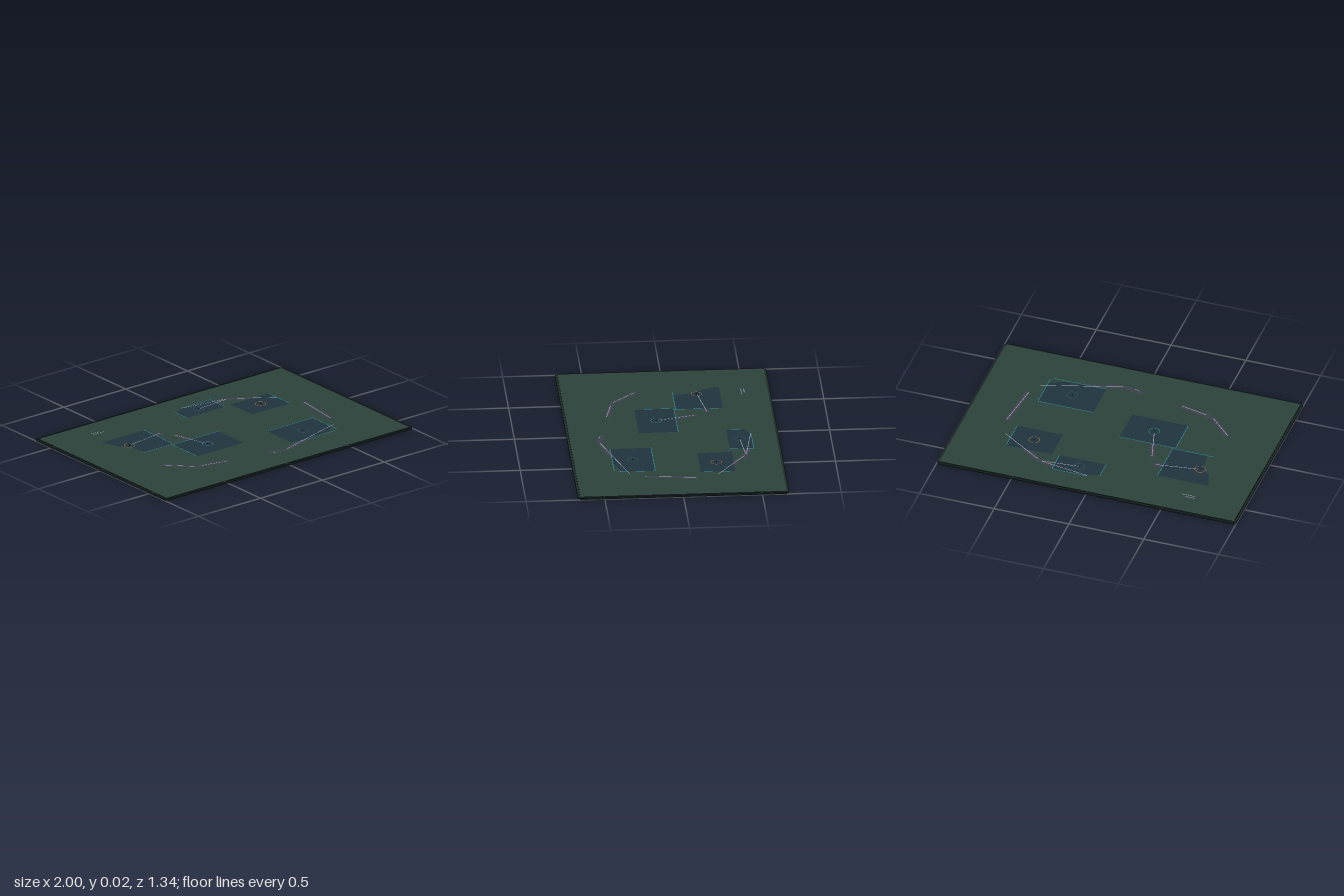
import * as THREE from 'three';

const GROUND = 0.0115;

function mat(color) {
  return new THREE.MeshStandardMaterial({ color, side: THREE.DoubleSide });
}
const M = {
  ground: mat(0x2b4239), rim: mat(0x1c2b26), pad: mat(0x20343e), road: mat(0x3a404b),
  line: mat(0xa8a4bc), cyan: mat(0x2a8a9a), orange: mat(0xb8722a), ring: mat(0x2c5560),
};

export function createModel() {
  const model = new THREE.Group();

  function add(name, geometry, material, x = 0, y = 0, z = 0) {
    const mesh = new THREE.Mesh(geometry, material);
    mesh.name = name;
    mesh.position.set(x, y, z);
    model.add(mesh);
    return mesh;
  }

  // Flat polygon from [x, z] points, facing up at height y
  function flat(name, points, y, material) {
    const shape = new THREE.Shape(points.map(([x, z]) => new THREE.Vector2(x, -z)));
    add(name, new THREE.ShapeGeometry(shape).rotateX(-Math.PI / 2), material, 0, y, 0);
  }

  // Flat strip of even width with mitred bends along [x, z] points
  function ribbon(name, points, width, y, material) {
    const p = points.map(([x, z]) => new THREE.Vector2(x, z));
    const left = [], right = [];
    p.forEach((c, i) => {
      const before = c.clone().sub(p[Math.max(i - 1, 0)]).normalize();
      const after = p[Math.min(i + 1, p.length - 1)].clone().sub(c).normalize();
      const d = before.add(after).normalize();
      const n = new THREE.Vector2(-d.y, d.x).multiplyScalar(width / 2);
      left.push([c.x + n.x, c.y + n.y]);
      right.unshift([c.x - n.x, c.y - n.y]);
    });
    flat(name, [...left, ...right], y, material);
  }

  const rect = (x0, x1, z0, z1) => [[x0, z0], [x1, z0], [x1, z1], [x0, z1]];

  // Ground sheet and the low rim strips around it
  add('ground', new THREE.PlaneGeometry(1.97, 1.31).rotateX(-Math.PI / 2), M.ground, 0, GROUND, 0);
  for (const s of [-1, 1]) {
    add('rimLong', new THREE.BoxGeometry(1.97, 0.008, 0.015), M.rim, 0, 0.004, s * 0.6625);
    add('rimShort', new THREE.BoxGeometry(0.015, 0.008, 1.31), M.rim, s * 0.9925, 0.004, 0);
  }

  // Pads: visible outline, full rectangle, edge lines and marker position
  const pads = [
    { shape: [[-0.71, -0.35], [-0.37, -0.35], [-0.37, -0.05], [-0.60, -0.05], [-0.62, -0.17], [-0.68, -0.25]],
      full: [-0.83, -0.37, -0.35, -0.05], marker: [-0.605, -0.2], ring: M.orange,
      edges: [[[-0.37, -0.35], [-0.37, -0.05]], [[-0.64, -0.05], [-0.37, -0.05]]] },
    { shape: rect(-0.385, -0.01, -0.04, 0.21), marker: [-0.2, 0.085], ring: M.cyan,
      edges: [[[-0.385, -0.04], [-0.385, 0.21]], [[-0.385, -0.04], [-0.01, -0.04]]] },
    { shape: [[-0.025, -0.46], [0.06, -0.495], [0.285, -0.495], [0.285, -0.345], [-0.025, -0.345]],
      full: [-0.025, 0.285, -0.5, -0.345], marker: [0.13, -0.42], ring: M.ring,
      edges: [[[0.05, -0.498], [0.285, -0.498]], [[0.285, -0.498], [0.285, -0.345]], [[-0.025, -0.47], [-0.025, -0.345]]] },
    { shape: rect(0.335, 0.64, -0.355, -0.135), marker: [0.49, -0.245], ring: M.orange,
      edges: [[[0.64, -0.355], [0.64, -0.135]]] },
    { shape: [[0.23, 0.15], [0.6, 0.15], [0.6, 0.35], [0.53, 0.39], [0.45, 0.41], [0.23, 0.41]],
      full: [0.23, 0.6, 0.15, 0.41], marker: [0.415, 0.28], ring: M.ring,
      edges: [[[0.23, 0.15], [0.6, 0.15]], [[0.6, 0.15], [0.6, 0.4]], [[0.23, 0.41], [0.58, 0.41]]] },
  ];
  for (const pad of pads) {
    flat('pad', pad.shape, GROUND + 0.001, M.pad);
    if (pad.full) flat('padUnderside', rect(...pad.full), GROUND - 0.001, M.pad);
    for (const edge of pad.edges) ribbon('padEdge', edge, 0.004, GROUND + 0.0015, M.cyan);
    const [x, z] = pad.marker;
    const ring = new THREE.RingGeometry(0.033, 0.036, 24).rotateX(-Math.PI / 2);
    add('markerRing', ring, pad.ring, x, GROUND + 0.002, z);
    add('markerPin', new THREE.CylinderGeometry(0.002, 0.002, 0.008, 6), M.pad, x, GROUND + 0.004, z);
  }

  // Road stretches that rise through the ground
  const roads = [
    [[0.28, -0.47], [0.4, -0.43], [0.54, -0.34]],
    [[0.72, -0.1], [0.69, 0.22]],
    [[0.4, 0.395], [0.12, 0.47], [0, 0.44]],
    [[-0.28, 0.39], [-0.5, 0.345], [-0.65, 0.19]],
    [[-0.4, -0.23], [-0.31, -0.24]],
    [[-0.275, -0.18], [-0.23, -0.03]],
  ];
  for (const path of roads) ribbon('road', path, 0.035, GROUND + 0.0005, M.road);

  // Buried remainder of the road loop, seen from underneath
  const buried = [
    [[-0.65, 0.19], [-0.9, -0.1], [-0.78, -0.53], [-0.3, -0.53], [0.1, -0.5], [0.38, -0.44],
      [0.68, -0.24], [0.72, -0.1], [0.69, 0.25], [0.62, 0.33], [0.12, 0.47], [0, 0.45]],
    [[-0.65, 0.19], [-0.5, 0.345], [-0.28, 0.39], [0, 0.45]],
  ];
  for (const path of buried) ribbon('buriedRoad', path, 0.045, GROUND - 0.0015, M.road);

  // Pale centre lines on roads and spurs to the markers
  const lines = [
    [[0.05, -0.495], [0.37, -0.445]], [[0.13, -0.42], [0.37, -0.44]],
    [[0.4, -0.43], [0.685, -0.24]],
    [[0.725, -0.1], [0.685, 0.22]],
    [[0.64, 0.315], [0.14, 0.465]], [[0.06, 0.47], [0.03, 0.46]],
    [[-0.28, 0.395], [-0.46, 0.355]], [[-0.51, 0.335], [-0.655, 0.19]],
    [[-0.59, -0.205], [-0.32, -0.245]], [[-0.27, -0.165], [-0.205, 0.07]],
    [[-0.67, -0.505], [-0.61, -0.503]], [[-0.67, -0.485], [-0.58, -0.485]],
  ];
  for (const path of lines) ribbon('centreLine', path, 0.004, GROUND + 0.002, M.line);

  return model;
}
